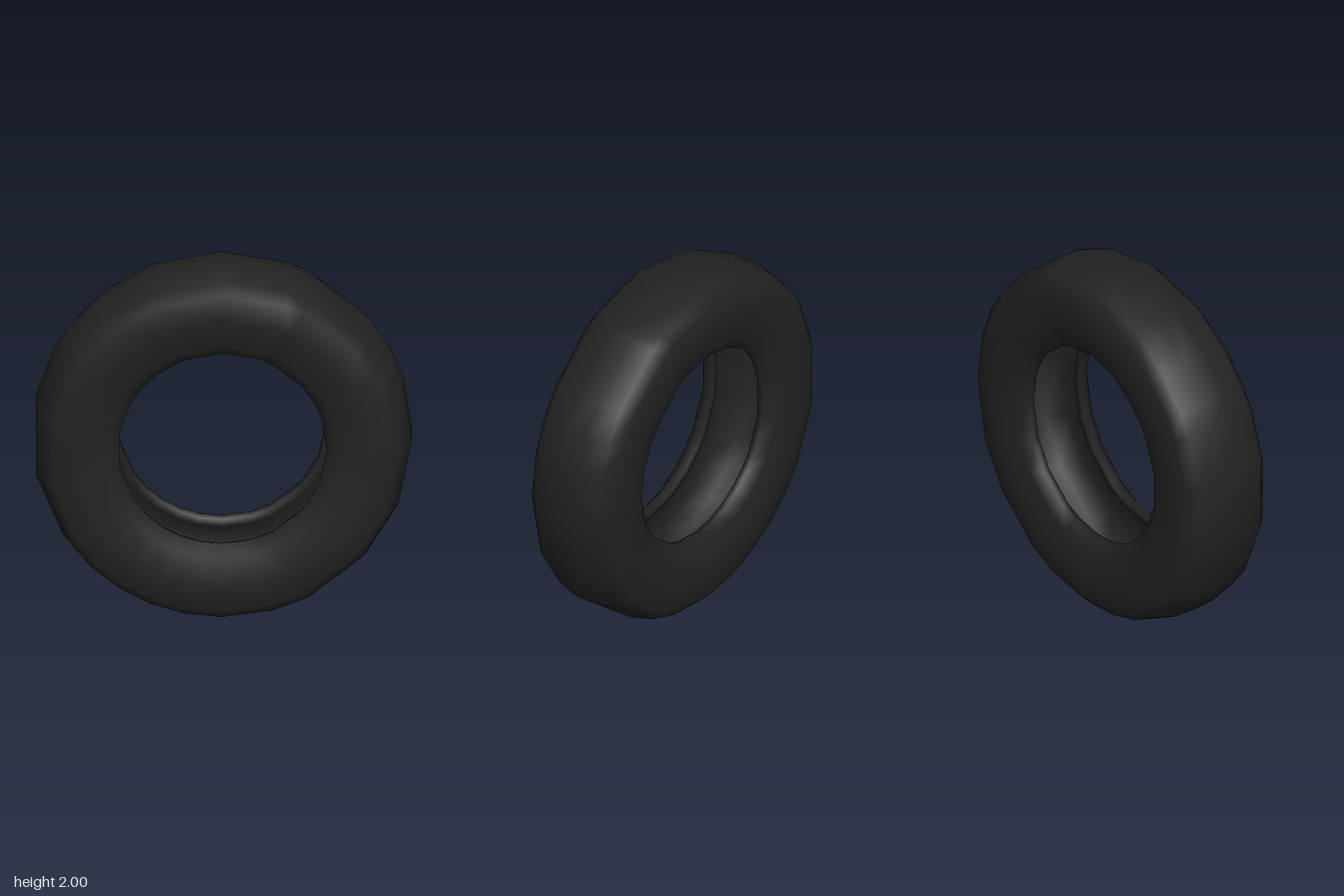
import * as THREE from 'three';
import { mergeVertices } from 'three/addons/utils/BufferGeometryUtils.js';

export function createModel() {
  const group = new THREE.Group();
  group.name = 'tyre';
  const rubber = new THREE.MeshStandardMaterial({ color: 0x222222 });
  rubber.name = 'black rubber';

  // Half of the wall section [radius, offset along axle], from inner cavity over the bead to the tread
  const half = [
    [0.9, 0.13], [0.8, 0.2], [0.66, 0.2], [0.6, 0.15], [0.56, 0.15],
    [0.55, 0.19], [0.61, 0.24], [0.77, 0.27], [0.91, 0.255], [0.965, 0.2], [1, 0.07],
  ];
  const section = [
    ...half.map(([r, h]) => new THREE.Vector2(r, -h)),
    ...half.slice().reverse().map(([r, h]) => new THREE.Vector2(r, h)),
  ];
  section.push(section[0].clone());

  // Uneven steps around the wheel, in degrees clockwise from the top
  const angles = [0, 22, 28, 50, 62, 73, 90, 112, 130, 152, 164, 180,
    192, 203, 215, 226, 237, 258.5, 281.5, 298, 306, 320, 337, 360];

  const shell = new THREE.LatheGeometry(section, angles.length - 1);
  const pos = shell.attributes.position;
  for (let i = 0; i < pos.count; i++) {
    const a = THREE.MathUtils.degToRad(angles[Math.floor(i / section.length)]);
    const p = section[i % section.length];
    pos.setXYZ(i, p.x * Math.sin(a), 1 + p.x * Math.cos(a), -p.y);
  }

  // Weld the seams so the shading stays smooth all round
  shell.deleteAttribute('uv');
  shell.deleteAttribute('normal');
  const geometry = mergeVertices(shell, 1e-4);
  geometry.computeVertexNormals();

  const tyre = new THREE.Mesh(geometry, rubber);
  tyre.name = 'tyreShell';
  group.add(tyre);
  return group;
}
